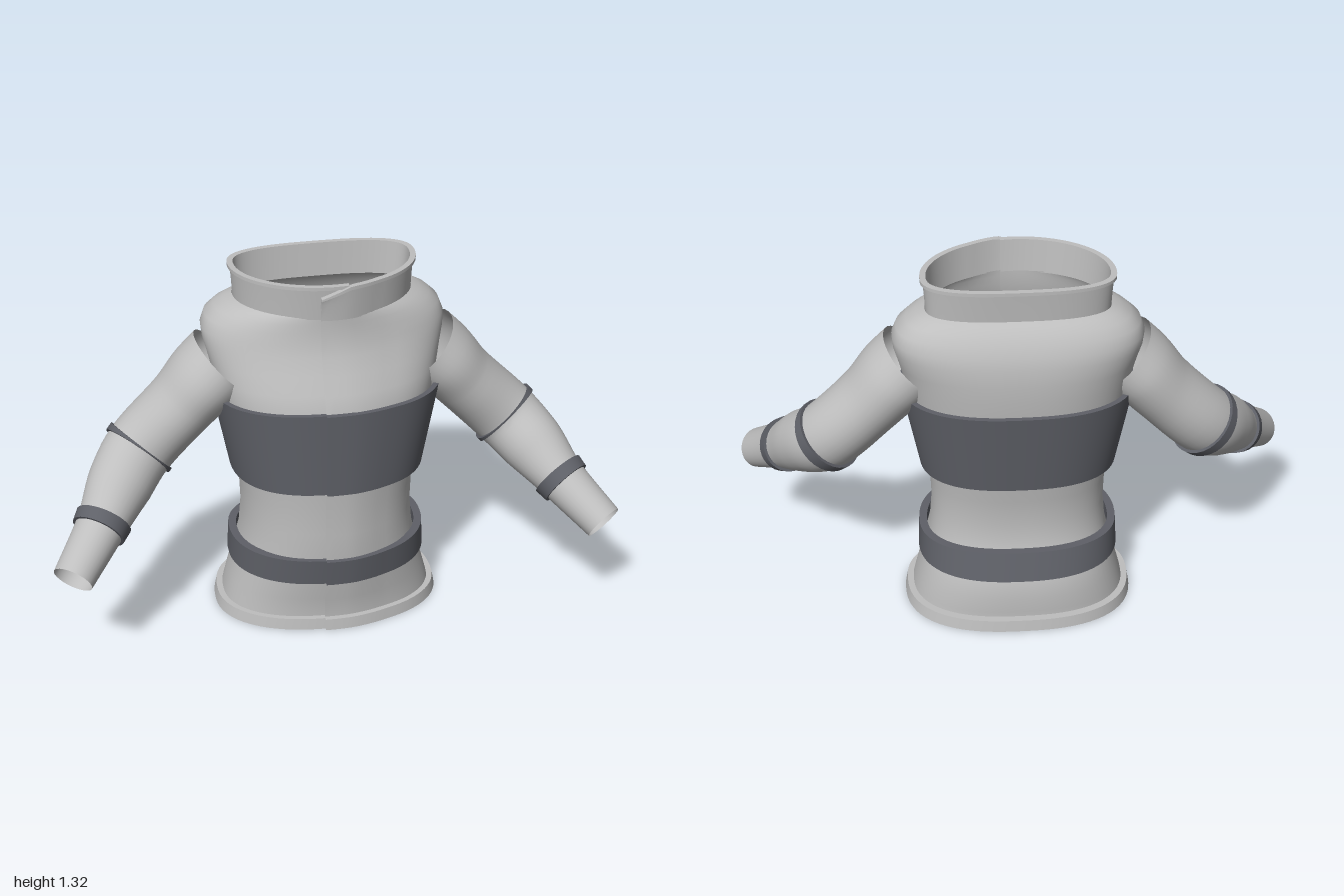
import * as THREE from 'three';
import { toCreasedNormals } from 'three/addons/utils/BufferGeometryUtils.js';

const cloth = new THREE.MeshStandardMaterial({ color: 0xbebebe, side: THREE.DoubleSide });
cloth.name = 'light grey cloth';
const strap = new THREE.MeshStandardMaterial({ color: 0x5e6067, side: THREE.DoubleSide });
strap.name = 'dark grey strap';

// Skin a list of point rows (each row an array of Vector3).
function skin(rows, flip = false, crease = 0.7) {
  const n = rows[0].length, pos = [], idx = [];
  rows.forEach(r => r.forEach(p => pos.push(p.x, p.y, p.z)));
  for (let i = 0; i < rows.length - 1; i++) {
    for (let j = 0; j < n - 1; j++) {
      const a = i * n + j, b = a + 1, c = b + n, d = a + n;
      if (flip) idx.push(a, c, b, a, d, c);
      else idx.push(a, b, c, a, c, d);
    }
  }
  const g = new THREE.BufferGeometry();
  g.setAttribute('position', new THREE.Float32BufferAttribute(pos, 3));
  g.setIndex(idx);
  return toCreasedNormals(g, crease);
}

function part(group, name, geometry, material) {
  const m = new THREE.Mesh(geometry, material);
  m.name = name;
  group.add(m);
}

// Horizontal outline that wraps round and overlaps itself at the front closure.
// h: height, w: half width, f / b: front and back z, c: z of widest point,
// nf / nb: squareness of front and back, tilt: rise at the front, notch: dip at the flap
function outline({ h, w, f, b, c = -0.06, nf = 2.2, nb = 2.5, notch = 0 }) {
  const N = 88, a0 = 0.05 / w, row = [];
  for (let i = 0; i <= N; i++) {
    const a = -a0 + (Math.PI * 2 + a0 * 1.9) * i / N;
    const s = Math.sin(a), k = Math.cos(a), n = k > 0 ? nf : nb;
    const r = 1 / Math.pow(Math.pow(Math.abs(s), n) + Math.pow(Math.abs(k), n), 1 / n);
    const lift = 0.011 * THREE.MathUtils.clamp(1 - (a - a0) / 0.35, 0, 1);
    const dip = notch * THREE.MathUtils.clamp(1 - (a + a0) / (2 * a0), 0, 1);
    row.push(new THREE.Vector3(w * r * s, h - dip, c + (k > 0 ? f - c : c - b) * r * k + lift));
  }
  return row;
}

// Thick ring of cloth between two outlines.
function ring(bottom, top, t) {
  const inset = o => ({ ...o, w: o.w - t, f: o.f - t, b: o.b + t });
  const rows = [inset(bottom), bottom, top, inset(top), inset(bottom)];
  return skin(rows.map(outline), false, 0.5);
}

// Arm centre line, with the radii across and along z.
const armPath = new THREE.CatmullRomCurve3([
  [0.36, 0.975, -0.07], [0.42, 0.92, -0.07], [0.5, 0.83, -0.07], [0.66, 0.67, -0.05],
  [0.74, 0.59, 0.04], [0.82, 0.5, 0.155], [0.935, 0.39, 0.305],
].map(p => new THREE.Vector3(...p)));
const armRadii = new THREE.CatmullRomCurve3([
  [0.135, 0.155], [0.13, 0.16], [0.12, 0.145], [0.122, 0.122], [0.115, 0.112], [0.086, 0.09], [0.07, 0.075],
].map(p => new THREE.Vector3(p[0], p[1], 0)));

function armRing(t, extra, side) {
  const p = armPath.getPoint(t), T = armPath.getTangent(t), r = armRadii.getPoint(t);
  const A = new THREE.Vector3(1, 1, 0);
  A.addScaledVector(T, -A.dot(T)).normalize();
  const B = new THREE.Vector3().crossVectors(T, A);
  const row = [];
  for (let i = 0; i <= 32; i++) {
    const a = Math.PI * 2 * i / 32;
    const q = p.clone().addScaledVector(A, (r.x + extra) * Math.cos(a)).addScaledVector(B, (r.y + extra) * Math.sin(a));
    q.x *= side;
    row.push(q);
  }
  return row;
}

export function createModel() {
  const jacket = new THREE.Group();
  jacket.name = 'jacket';

  // Torso: height, half width, front, back
  const torso = [
    [0.02, 0.385, 0.185, -0.325], [0.06, 0.376, 0.185, -0.322], [0.12, 0.36, 0.192, -0.326],
    [0.2, 0.337, 0.205, -0.308], [0.3, 0.314, 0.215, -0.268], [0.4, 0.305, 0.212, -0.256],
    [0.5, 0.308, 0.212, -0.265], [0.6, 0.32, 0.216, -0.28], [0.75, 0.35, 0.225, -0.3],
    [0.87, 0.38, 0.222, -0.314], [0.94, 0.392, 0.195, -0.319], [1.0, 0.405, 0.167, -0.32],
    [1.06, 0.42, 0.143, -0.316], [1.1, 0.423, 0.132, -0.306], [1.14, 0.408, 0.127, -0.289],
    [1.17, 0.375, 0.125, -0.268], [1.19, 0.34, 0.125, -0.248], [1.2, 0.31, 0.125, -0.23],
  ].map(([h, w, f, b]) => {
    const k = THREE.MathUtils.smoothstep(h, 0.9, 1.2);
    return outline({ h, w, f, b, c: -0.06 - 0.05 * k, nf: 2.25 - 0.3 * k, nb: 2.5 + 0.3 * k });
  });
  part(jacket, 'torso', skin(torso, false, 1.2), cloth);

  // Standing collar with a rolled lip and a notch at the flap
  const neck = { c: -0.11, nf: 1.95, nb: 2.8 };
  const collar = [
    [1.19, 0.308, 0.127, -0.23, 0], [1.25, 0.311, 0.132, -0.234, 0], [1.3, 0.315, 0.137, -0.238, 0.035],
    [1.303, 0.324, 0.146, -0.247, 0.035], [1.315, 0.324, 0.146, -0.247, 0.04],
    [1.315, 0.304, 0.126, -0.227, 0.04], [1.2, 0.298, 0.115, -0.22, 0],
  ].map(([h, w, f, b, notch]) => outline({ h, w, f, b, notch, ...neck }));
  part(jacket, 'collar', skin(collar), cloth);

  // Hem flange
  part(jacket, 'hem', ring(
    { h: 0, w: 0.41, f: 0.21, b: -0.357 }, { h: 0.042, w: 0.402, f: 0.205, b: -0.35 }, 0.028), cloth);

  // Chest band and waist belt
  part(jacket, 'chestBand', ring(
    { h: 0.577, w: 0.343, f: 0.236, b: -0.303, nf: 2.4, nb: 2.5 },
    { h: 0.885, w: 0.402, f: 0.236, b: -0.338, nf: 2.4, nb: 2.5 }, 0.018), strap);
  part(jacket, 'waistBelt', ring(
    { h: 0.202, w: 0.357, f: 0.222, b: -0.33, nb: 2.4 },
    { h: 0.303, w: 0.352, f: 0.232, b: -0.297, nb: 2.4 }, 0.028), strap);

  // Sleeves with elbow and forearm straps
  for (const side of [1, -1]) {
    const arm = new THREE.Group();
    arm.name = side > 0 ? 'leftArm' : 'rightArm';
    const rows = [];
    for (let i = 0; i <= 36; i++) rows.push(armRing(i / 36, 0, side));
    part(arm, 'sleeve', skin(rows, side < 0, 1.2), cloth);
    for (const [name, t, half] of [['elbowStrap', 3 / 6, 0.011], ['forearmStrap', 5 / 6, 0.02]]) {
      const band = [[-half, -0.004], [-half, 0.01], [half, 0.01], [half, -0.004]]
        .map(([dt, e]) => armRing(t + dt, e, side));
      part(arm, name, skin(band, side < 0, 0.6), strap);
    }
    jacket.add(arm);
  }
  return jacket;
}
